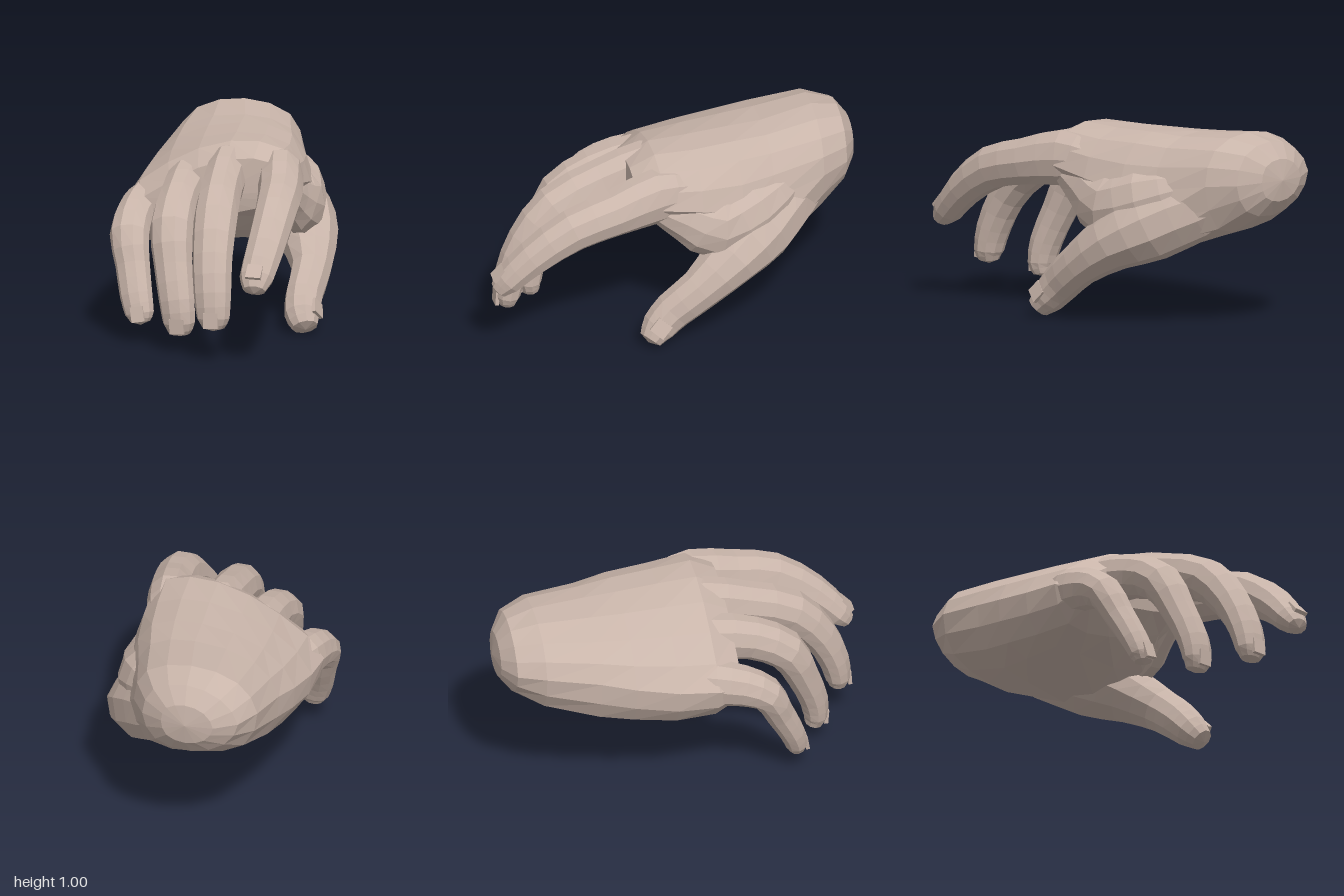
import * as THREE from 'three';

const skin = new THREE.MeshStandardMaterial({ color: 0xc9b5aa, flatShading: true });
const V = (x, y, z) => new THREE.Vector3(x, y, z);

function centreOf(ring) {
  const c = V(0, 0, 0);
  for (const p of ring) c.addScaledVector(p, 1 / ring.length);
  return c;
}

// Skin a closed surface over equal-length rings of points, with slightly domed ends
function loft(name, rings) {
  const n = rings[0].length, last = rings.length - 1;
  const pos = [], index = [];
  for (const ring of rings) for (const p of ring) pos.push(p.x, p.y, p.z);
  for (const [end, inner] of [[0, 1], [last, last - 1]]) {
    const c = centreOf(rings[end]);
    c.add(c.clone().sub(centreOf(rings[inner])).setLength(0.018));
    pos.push(c.x, c.y, c.z);
  }
  const c0 = rings.length * n, c1 = c0 + 1;
  for (let j = 0; j < n; j++) {
    const k = (j + 1) % n;
    for (let i = 0; i < last; i++) {
      const a = i * n + j, b = i * n + k;
      index.push(a, b, a + n, b, b + n, a + n);
    }
    index.push(c0, k, j, c1, last * n + j, last * n + k);
  }
  const geo = new THREE.BufferGeometry();
  geo.setAttribute('position', new THREE.Float32BufferAttribute(pos, 3));
  geo.setIndex(index);
  geo.computeVertexNormals();
  const mesh = new THREE.Mesh(geo, skin);
  mesh.name = name;
  return mesh;
}

// Side and up directions across a path heading along t
function frame(t) {
  const side = V(1, 0, 0).addScaledVector(t, -t.x).normalize();
  return { side, up: t.clone().cross(side) };
}

// Digit: stations of [x, y, z, half width, half depth] along the centre line
function digit(name, stations, nailAt, nailRoll = 0) {
  const path = new THREE.CatmullRomCurve3(stations.map(s => V(s[0], s[1], s[2])));
  const size = new THREE.CatmullRomCurve3(stations.map(s => V(s[3], s[4], 0)));
  const steps = (stations.length - 1) * 2, sides = 10, rings = [];
  for (let i = 0; i <= steps; i++) {
    const u = i / steps, c = path.getPoint(u), r = size.getPoint(u);
    const { side, up } = frame(path.getTangent(u));
    rings.push(Array.from({ length: sides }, (_, j) => {
      const a = (j / sides) * Math.PI * 2;
      return c.clone().addScaledVector(side, Math.cos(a) * r.x).addScaledVector(up, Math.sin(a) * r.y);
    }));
  }
  const group = new THREE.Group();
  group.name = name;
  group.add(loft(name + 'Flesh', rings));

  // Nail: a thin plate almost flush with the back of the tip
  if (nailAt) {
    const t = path.getTangent(nailAt), r = size.getPoint(nailAt);
    const { side, up } = frame(t);
    const out = up.applyAxisAngle(t, -nailRoll), across = side.applyAxisAngle(t, -nailRoll);
    const nail = new THREE.Mesh(new THREE.BoxGeometry(r.x * 0.9, 0.02, 0.08), skin);
    nail.name = name + 'Nail';
    nail.quaternion.setFromRotationMatrix(new THREE.Matrix4().makeBasis(across, out, t));
    const reach = Math.hypot(Math.sin(nailRoll) * r.x, Math.cos(nailRoll) * r.y);
    nail.position.copy(path.getPoint(nailAt)).addScaledVector(out, reach * 0.95 - 0.005);
    group.add(nail);
  }
  return group;
}

// Palm outlines: z, then x,y pairs from the thumb side over the back and round the palm
const palmSections = [
  [-.982, 0, .79, -.03, .87, -.13, .90, -.23, .87, -.28, .79, -.23, .71, -.13, .68, -.03, .71],
  [-.92, .12, .78, .06, .93, -.12, .985, -.30, .93, -.395, .80, -.32, .67, -.14, .60, .05, .64],
  [-.78, .21, .77, .14, .95, -.10, 1.02, -.35, .96, -.455, .80, -.38, .60, -.13, .52, .12, .54],
  [-.5, .31, .73, .21, .94, -.03, 1.0, -.35, .93, -.48, .75, -.42, .52, -.12, .43, .33, .44],
  [-.32, .38, .72, .26, .95, -.01, 1.0, -.34, .91, -.51, .71, -.44, .49, -.13, .43, .41, .43],
  [-.1, .41, .76, .30, .95, .02, 1.0, -.32, .89, -.53, .67, -.45, .46, -.14, .45, .31, .50],
  [.11, .42, .80, .32, .97, .04, 1.0, -.29, .87, -.53, .65, -.43, .46, -.14, .48, .22, .61],
  [.24, .40, .79, .31, .92, .05, .93, -.25, .80, -.49, .61, -.40, .54, -.12, .61, .20, .68],
];

function palm() {
  const rings = palmSections.map(([z, ...xy]) => {
    const pts = [];
    for (let i = 0; i < xy.length; i += 2) pts.push(V(xy[i], xy[i + 1], z));
    const outline = new THREE.CatmullRomCurve3(pts, true);
    return Array.from({ length: 16 }, (_, i) => outline.getPoint(i / 16));
  });
  return loft('palm', rings);
}

export function createModel() {
  const hand = new THREE.Group();
  hand.name = 'hand';
  hand.add(palm());

  // Fingers swell at the middle joint and taper to the tip
  hand.add(digit('indexFinger', [
    [.28, .83, -.05, .09, .10], [.31, .83, .13, .115, .15], [.36, .79, .36, .115, .125],
    [.387, .735, .58, .108, .115], [.385, .60, .79, .10, .095], [.37, .475, .92, .09, .075],
    [.37, .42, .97, .058, .045],
  ], .84));
  hand.add(digit('middleFinger', [
    [.03, .85, -.05, .09, .10], [.035, .84, .13, .11, .15], [.05, .795, .36, .108, .125],
    [.08, .70, .61, .113, .115], [.10, .53, .765, .105, .095], [.12, .36, .845, .098, .082],
    [.13, .24, .87, .086, .068], [.13, .19, .87, .058, .045],
  ], .87));
  hand.add(digit('ringFinger', [
    [-.18, .78, -.05, .09, .10], [-.18, .77, .13, .115, .13], [-.175, .73, .35, .105, .115],
    [-.17, .63, .53, .113, .105], [-.14, .45, .625, .10, .087], [-.105, .28, .69, .093, .077],
    [-.09, .17, .705, .084, .064], [-.09, .115, .695, .058, .045],
  ], .87));
  hand.add(digit('littleFinger', [
    [-.38, .66, -.05, .08, .09], [-.41, .64, .10, .11, .125], [-.43, .61, .25, .10, .11],
    [-.43, .545, .375, .103, .09], [-.395, .40, .45, .09, .077], [-.36, .26, .52, .085, .068],
    [-.335, .17, .55, .076, .06], [-.33, .13, .555, .052, .042],
  ], .87));

  // Thumb grows out of the fleshy mound at the wrist
  hand.add(digit('thumb', [
    [-.02, .74, -.80, .12, .13], [.10, .65, -.61, .17, .19], [.25, .54, -.42, .19, .195],
    [.36, .435, -.25, .16, .15], [.42, .31, -.08, .105, .115], [.415, .20, .06, .097, .105],
    [.425, .12, .14, .095, .09], [.45, .062, .19, .066, .06],
  ], .85, Math.PI * 0.4));

  // Web of flesh between thumb and index finger
  hand.add(digit('thumbWeb', [
    [.16, .74, -.62, .08, .10], [.28, .66, -.40, .13, .17], [.35, .61, -.20, .11, .17],
    [.33, .69, -.03, .09, .13], [.31, .77, .12, .08, .08],
  ]));
  return hand;
}
